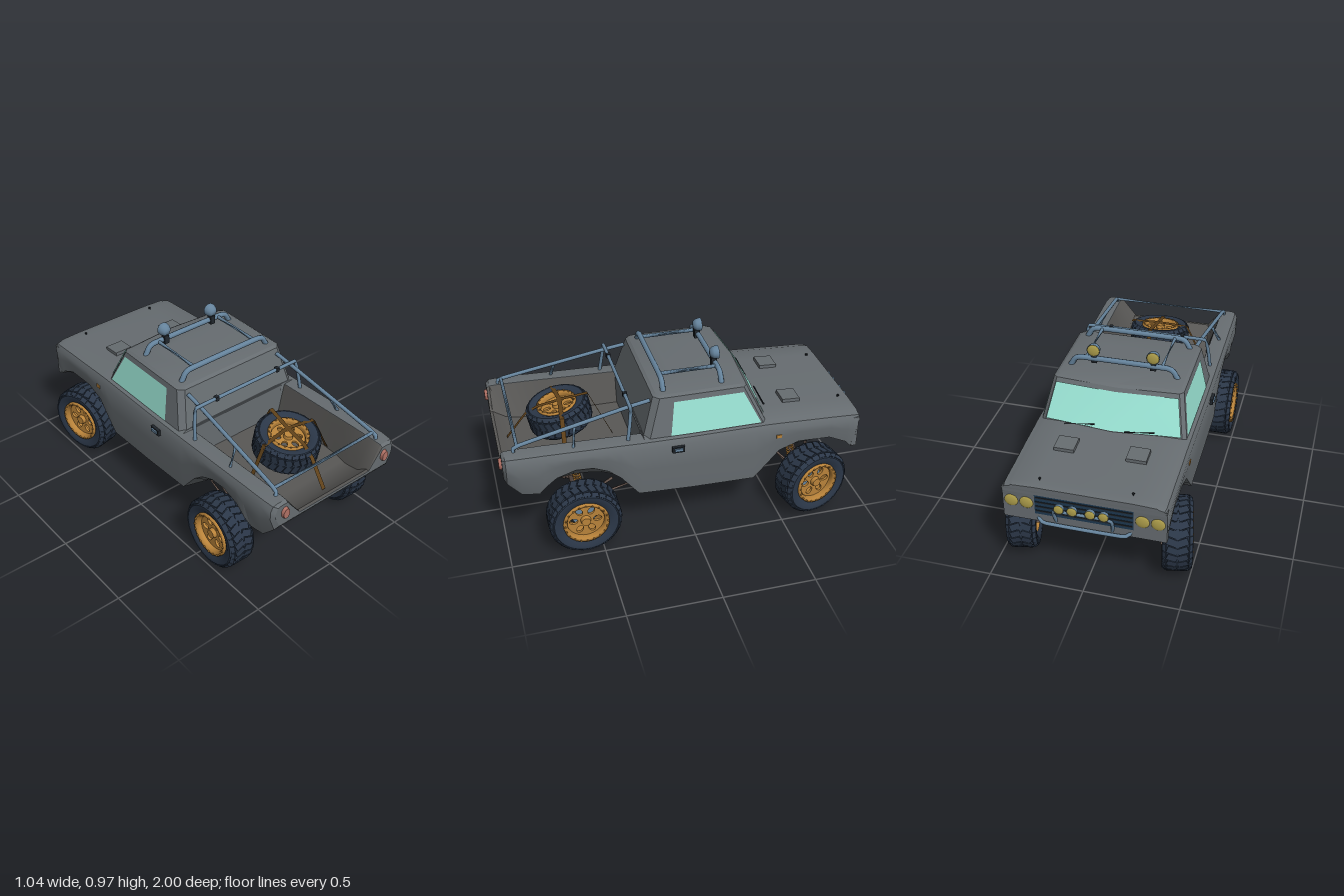
import * as THREE from 'three';
import { mergeGeometries, toCreasedNormals } from 'three/addons/utils/BufferGeometryUtils.js';

const V = (x, y, z) => new THREE.Vector3(x, y, z);
const paint = (color) => new THREE.MeshStandardMaterial({ color, side: THREE.DoubleSide });
const MAT = {
  body: paint(0x676d71), glass: paint(0x9ae3d4), steel: paint(0x66849d), rubber: paint(0x2b3748),
  gold: paint(0xb9833a), link: paint(0x6d5c54), strap: paint(0x5e4019), lamp: paint(0xb0a04c),
  navy: paint(0x1d3850), red: paint(0xb07064), black: paint(0x20262c), liner: paint(0x595856),
};

export function createModel() {
  const root = new THREE.Group();
  root.name = 'offroadPickup';

  const add = (name, geo, mat, parent = root) => {
    const m = new THREE.Mesh(geo, mat);
    m.name = name;
    parent.add(m);
    return m;
  };
  const box = (name, size, pos, mat, parent) => {
    const m = add(name, new THREE.BoxGeometry(...size), mat, parent);
    m.position.set(...pos);
    return m;
  };
  // Round bar through points, with tight bends
  const tube = (name, pts, r, mat = MAT.steel) => {
    const curve = new THREE.CatmullRomCurve3(pts.map((p) => V(...p)), false, 'catmullrom', 0.2);
    return add(name, new THREE.TubeGeometry(curve, pts.length === 2 ? 1 : pts.length * 6, r, 8), mat);
  };
  const both = (fn) => [1, -1].forEach(fn);

  // Skin over rows of points; optional capped ends for closed rings
  const skin = (rows, closed, flat2d) => {
    const n = rows[0].length, pos = rows.flat(2), idx = [];
    for (let i = 0; i + 1 < rows.length; i++) {
      for (let j = 0; j < (closed ? n : n - 1); j++) {
        const a = i * n + j, b = i * n + (j + 1) % n;
        idx.push(a, a + n, b, b, a + n, b + n);
      }
    }
    if (closed) {
      const last = (rows.length - 1) * n;
      [0, last].forEach((o) => {
        const contour = rows[o / n].map((p) => new THREE.Vector2(...flat2d(p)));
        THREE.ShapeUtils.triangulateShape(contour, []).forEach(([a, b, c]) =>
          o ? idx.push(o + a, o + c, o + b) : idx.push(a, b, c));
      });
    }
    const g = new THREE.BufferGeometry();
    g.setAttribute('position', new THREE.Float32BufferAttribute(pos, 3));
    g.setIndex(idx);
    return toCreasedNormals(g, 0.5);
  };

  // Lower body: z, sill height, belly height, half width, top height, bed floor half width (0 = bonnet)
  const stations = [
    [0.985, 0.485, 0.485, 0.4, 0.61, 0.24], [0.97, 0.46, 0.46, 0.42, 0.62, 0.243], [0.9, 0.385, 0.385, 0.426, 0.622, 0.25],
    [0.81, 0.372, 0.375, 0.426, 0.62, 0.265], [0.78, 0.42, 0.375, 0.426, 0.62, 0.27], [0.72, 0.468, 0.375, 0.426, 0.618, 0.28],
    [0.62, 0.5, 0.375, 0.426, 0.615, 0.285], [0.53, 0.495, 0.37, 0.426, 0.612, 0.285], [0.45, 0.46, 0.355, 0.426, 0.61, 0.285],
    [0.385, 0.405, 0.33, 0.426, 0.608, 0.285], [0.29, 0.285, 0.285, 0.426, 0.605, 0.285],
    [0.255, 0.282, 0.282, 0.426, 0.604, 0.285], [0.25, 0.282, 0.282, 0.426, 0.604, 0], [0, 0.27, 0.27, 0.426, 0.6, 0],
    [-0.35, 0.262, 0.262, 0.425, 0.6, 0], [-0.42, 0.34, 0.28, 0.425, 0.6, 0], [-0.49, 0.42, 0.31, 0.424, 0.597, 0],
    [-0.6, 0.46, 0.345, 0.424, 0.592, 0], [-0.78, 0.452, 0.36, 0.422, 0.583, 0], [-0.88, 0.405, 0.37, 0.422, 0.578, 0],
    [-0.91, 0.372, 0.372, 0.422, 0.576, 0], [-0.93, 0.37, 0.37, 0.42, 0.574, 0], [-0.947, 0.55, 0.55, 0.416, 0.57, 0],
  ];
  const bedFloor = (z) => 0.42 + 0.08 * THREE.MathUtils.clamp((z - 0.86) / 0.11, 0, 1);
  const bodyRing = ([z, sill, belly, w, top, bed]) => {
    const tuck = z > 0.8 ? 0.028 : 0.01;
    const half = [[0.25, belly], [0.29, belly + 0.08 * (sill - belly)], [w - tuck, sill], [w, (sill + top) / 2],
      [w, top - 0.035], [w - 0.015, top - 0.005], [w - 0.04, top], [bed ? 0.325 : 0.365, top + (bed ? 0 : 0.007)],
      [bed || 0.25, bed ? bedFloor(z) : top + 0.012]];
    const mirrored = half.map(([x, y]) => [-x, y]).reverse();
    return [...half, ...mirrored].map(([x, y]) => [x, y, z]);
  };
  add('body', skin(stations.map(bodyRing), true, ([x, y]) => [x, y]), MAT.body);
  const linerRow = ([z, , , , top, bed]) => [[0.323, top - 0.002], [bed - 0.002, bedFloor(z) + 0.003],
    [0.002 - bed, bedFloor(z) + 0.003], [-0.323, top - 0.002]].map(([x, y]) => [x, y, z]);
  add('bedLiner', skin(stations.filter((s) => s[5]).map(linerRow), false), MAT.liner);

  // Cab, with slightly bowed windscreen and crowned roof
  const cab = (y) => {
    const t = (y - 0.595) / 0.22;
    return { x: 0.39 - 0.043 * t, zr: 0.252 - 0.065 * t, zf: -0.42 + 0.105 * t, bow: 0.035 - 0.012 * t };
  };
  const cabRing = (y, inset = 0, lift = 0) => {
    const { x, zr, zf, bow } = cab(y), w = x - inset, r = zr - inset, f = zf + inset;
    return [[w - 0.03, r], [w, r - 0.03], [w, f + 0.02], [w - 0.02, f], [0, f - bow], [-w + 0.02, f], [-w, f + 0.02],
      [-w, r - 0.03], [-w + 0.03, r]].map(([px, pz]) => [px, y + lift, pz]);
  };
  add('cab', skin([cabRing(0.815, 0.14, 0.018), cabRing(0.815, 0.017, 0.01), cabRing(0.814), cabRing(0.585)],
    true, ([x, , z]) => [x, -z]), MAT.body);
  box('cabBack', [0.6, 0.2, 0.01], [0, 0.51, 0.251], MAT.body);

  // Glass
  const screenRow = (y) => [-1, 0, 1].map((s) => {
    const c = cab(y);
    return [s * (c.x - 0.024), y + 0.003, c.zf - (s ? 0.003 : c.bow) - 0.005];
  });
  add('windscreen', skin([screenRow(0.614), screenRow(0.794)], false), MAT.glass);
  both((s) => {
    const row = (y, z0, z1) => [z0, z1].map((z) => [s * (cab(y).x + 0.004), y, z]);
    add('sideWindow', skin([row(0.605, 0.107, -0.385), row(0.787, 0.083, -0.293)], false), MAT.glass);
    tube('wiper', [[s * 0.16 + 0.09, 0.622, -0.448], [s * 0.16 - 0.07, 0.64, -0.445]], 0.004, MAT.black);

    // Body fittings
    box('doorHandle', [0.025, 0.034, 0.065], [s * 0.43, 0.545, 0.08], MAT.black);
    box('handleLever', [0.01, 0.016, 0.045], [s * 0.445, 0.547, 0.08], MAT.steel);
    box('sideMarker', [0.012, 0.018, 0.03], [s * 0.423, 0.52, -0.48], MAT.gold);
    const light = add('tailLight', new THREE.CylinderGeometry(0.027, 0.034, 0.02, 8), MAT.red);
    light.geometry.rotateY(Math.PI / 8).rotateX(Math.PI / 2).scale(0.76, 1.1, 1);
    light.position.set(s * 0.34, 0.557, 0.99);
    box('hoodScoop', [0.105, 0.03, 0.1], [s * 0.188, 0.608, -0.61], MAT.body).rotation.x = -0.06;
    tube('hoodPin', [[s * 0.235, 0.58, -0.89], [s * 0.235, 0.6, -0.89]], 0.007, MAT.black);
  });

  // Front face: grille, paired headlights and lamp bar
  box('frontPanel', [0.83, 0.185, 0.03], [0, 0.465, -0.928], MAT.body);
  box('grille', [0.5, 0.12, 0.012], [0, 0.48, -0.94], MAT.navy);
  for (let i = 0; i < 4; i++) box('grilleSlat', [0.49, 0.008, 0.01], [0, 0.44 + i * 0.027, -0.944], MAT.black);
  const lamp = (x, y, z, r, depth) => {
    const g = new THREE.Group();
    g.name = 'lamp';
    const profile = [[0, -0.5], [0.55, -0.45], [0.9, -0.1], [1, 0.35], [1, 0.5]];
    const shell = new THREE.LatheGeometry(profile.map(([a, b]) => new THREE.Vector2(a * r, b * depth)), 16);
    add('lampShell', shell, MAT.steel, g);
    const lens = add('lampLens', new THREE.SphereGeometry(r * 0.94, 16, 6, 0, Math.PI * 2, 0, Math.PI / 2), MAT.lamp, g);
    lens.scale.y = 0.25;
    lens.position.y = depth * 0.45;
    g.rotation.x = -Math.PI / 2;
    g.position.set(x, y, z);
    root.add(g);
  };
  both((s) => [0.293, 0.371].forEach((x) => lamp(s * x, 0.478, -0.933, 0.038, 0.02)));
  [-0.112, -0.045, 0.045, 0.112].forEach((x) => lamp(x, 0.505, -0.975, 0.027, 0.032));
  tube('lampBar', [[-0.14, 0.37, -0.93], [-0.14, 0.475, -0.972], [0.14, 0.475, -0.972], [0.14, 0.37, -0.93]], 0.009);
  tube('frontBumper', [[-0.24, 0.4, -0.93], [-0.2, 0.375, -0.955], [0.2, 0.375, -0.955], [0.24, 0.4, -0.93]], 0.01);

  // Roof rack and spotlights
  [-0.19, 0.125].forEach((z) => tube('roofHoop', [[-0.295, 0.81, z], [-0.28, 0.84, z], [-0.235, 0.877, z],
    [0.235, 0.877, z], [0.28, 0.84, z], [0.295, 0.81, z]], 0.015));
  both((s) => {
    tube('roofRail', [[s * 0.205, 0.877, -0.19], [s * 0.205, 0.877, 0.125]], 0.011);
    box('spotBracket', [0.03, 0.05, 0.03], [s * 0.16, 0.88, -0.185], MAT.black);
    lamp(s * 0.16, 0.933, -0.185, 0.036, 0.045);

    // Bed cage sides
    tube('cageRail', [[s * 0.305, 0.787, 0.2], [s * 0.31, 0.765, 0.33], [s * 0.34, 0.65, 0.9], [s * 0.345, 0.61, 0.92]], 0.011);
    tube('cageStrut', [[s * 0.378, 0.6, 0.62], [s * 0.325, 0.705, 0.6]], 0.009);
    box('cageClamp', [0.02, 0.024, 0.024], [s * 0.208, 0.783, 0.31], MAT.black);
  });
  tube('cageHoop', [[-0.37, 0.59, 0.335], [-0.36, 0.69, 0.32], [-0.347, 0.765, 0.31], [-0.325, 0.782, 0.31],
    [0.325, 0.782, 0.31], [0.347, 0.765, 0.31], [0.36, 0.69, 0.32], [0.37, 0.59, 0.335]], 0.01);
  tube('cageRearBar', [[-0.34, 0.65, 0.9], [0.34, 0.65, 0.9]], 0.009);

  // Wheel: axle along x, outer face towards +x
  const tyreProfile = [[0.118, -0.06], [0.148, -0.077], [0.17, -0.078], [0.184, -0.066], [0.191, 0], [0.184, 0.066],
    [0.17, 0.078], [0.148, 0.077], [0.118, 0.06], [0.112, 0], [0.118, -0.06]].map((p) => new THREE.Vector2(...p));
  const tyreGeo = toCreasedNormals(new THREE.LatheGeometry(tyreProfile, 40).toNonIndexed(), 0.6).rotateZ(-Math.PI / 2);
  const lugs = [];
  for (let i = 0; i < 28; i++) {
    both((s) => {
      const angle = (i / 28) * Math.PI * 2;
      lugs.push(new THREE.BoxGeometry(0.054, 0.008, 0.036).rotateY(s * 0.35).translate(s * 0.027, 0.1905, 0).rotateX(angle));
      lugs.push(new THREE.BoxGeometry(0.022, 0.008, 0.036).rotateZ(-s * 0.7).translate(s * 0.066, 0.1815, -0.013).rotateX(angle));
    });
  }
  const treadGeo = mergeGeometries(lugs);
  const disc = new THREE.Shape().absarc(0, 0, 0.104, 0, Math.PI * 2);
  for (let i = 0; i < 6; i++) {
    const a = (i / 6) * Math.PI * 2;
    disc.holes.push(new THREE.Path().absellipse(Math.cos(a) * 0.064, Math.sin(a) * 0.064, 0.023, 0.017, 0, Math.PI * 2, true, a));
  }
  const discGeo = new THREE.ExtrudeGeometry(disc, { depth: 0.014, bevelEnabled: false, curveSegments: 16 })
    .rotateY(Math.PI / 2).translate(0.03, 0, 0);
  const barrel = [[0.112, -0.068], [0.104, -0.06], [0.1, 0], [0.1, 0.06], [0.107, 0.074], [0.121, 0.076], [0.123, 0.06]];
  const barrelGeo = new THREE.LatheGeometry(barrel.map((p) => new THREE.Vector2(...p)), 36).rotateZ(-Math.PI / 2);
  const bolts = [new THREE.CylinderGeometry(0.024, 0.03, 0.03, 16).rotateZ(-Math.PI / 2).translate(0.05, 0, 0)];
  for (let i = 0; i < 20; i++) {
    bolts.push(new THREE.CylinderGeometry(0.005, 0.005, 0.008, 6).rotateZ(Math.PI / 2)
      .translate(0.078, 0.114, 0).rotateX((i / 20) * Math.PI * 2));
  }
  const boltGeo = mergeGeometries(bolts);
  const brakeGeo = new THREE.CylinderGeometry(0.068, 0.068, 0.01, 24).rotateZ(Math.PI / 2);
  const wheel = (name, parent = root) => {
    const g = new THREE.Group();
    g.name = name;
    add('tyre', tyreGeo, MAT.rubber, g);
    add('tread', treadGeo, MAT.rubber, g);
    add('rimDisc', discGeo, MAT.gold, g);
    add('rimBarrel', barrelGeo, MAT.gold, g);
    add('hubAndBolts', boltGeo, MAT.gold, g);
    parent.add(g);
    return g;
  };

  // Coil spring around a damper between two points
  const coilover = (a, b) => {
    const A = V(...a), B = V(...b), len = A.distanceTo(B), g = new THREE.Group(), turns = [];
    g.name = 'coilover';
    for (let i = 0; i <= 60; i++) {
      const t = i / 60, q = t * Math.PI * 12;
      turns.push(V(Math.cos(q) * 0.018, (0.1 + 0.45 * t) * len, Math.sin(q) * 0.018));
    }
    add('spring', new THREE.TubeGeometry(new THREE.CatmullRomCurve3(turns), 110, 0.005, 5), MAT.gold, g);
    add('damper', new THREE.CylinderGeometry(0.011, 0.011, len, 10).translate(0, len / 2, 0), MAT.link, g);
    add('damperTop', new THREE.CylinderGeometry(0.015, 0.015, len * 0.25, 10).translate(0, len * 0.87, 0), MAT.navy, g);
    g.position.copy(A);
    g.quaternion.setFromUnitVectors(V(0, 1, 0), B.sub(A).normalize());
    root.add(g);
  };

  both((s) => {
    // Wheels; the front pair is steered
    const rear = wheel('rearWheel');
    rear.position.set(s * 0.411, 0.198, 0.591);
    const knuckle = new THREE.Group();
    knuckle.name = 'steeringKnuckle';
    knuckle.position.set(s * 0.34, 0.198, -0.675);
    knuckle.rotation.y = 0.22;
    root.add(knuckle);
    const front = wheel('frontWheel', knuckle);
    front.position.x = s * 0.069;
    [rear, front].forEach((w) => {
      w.rotation.y = s > 0 ? 0 : Math.PI;
      add('brakeDisc', brakeGeo, MAT.steel, w).position.x = -0.01;
    });
    box('upright', [0.04, 0.13, 0.05], [s * 0.005, 0, 0], MAT.link, knuckle);

    // Suspension links
    [0.15, 0.25].forEach((y) => [-0.78, -0.55].forEach((z) =>
      tube('frontArm', [[s * 0.1, y + 0.09, z], [s * 0.34, y, -0.675]], 0.012, MAT.link)));
    tube('halfShaft', [[s * 0.06, 0.27, -0.675], [s * 0.37, 0.2, -0.675]], 0.012, MAT.link);
    tube('trailingArm', [[s * 0.27, 0.18, 0.58], [s * 0.17, 0.272, -0.05]], 0.014, MAT.link);
    tube('upperLink', [[s * 0.05, 0.24, 0.58], [s * 0.22, 0.3, 0.2]], 0.011, MAT.link);
    tube('swayLink', [[s * 0.25, 0.2, 0.56], [s * 0.25, 0.29, 0.4]], 0.008, MAT.link);
    coilover([s * 0.168, 0.2, 0.57], [s * 0.145, 0.4, 0.6]);
    coilover([s * 0.24, 0.21, -0.64], [s * 0.19, 0.4, -0.62]);
  });

  // Rear axle, differential and drive line
  tube('rearAxle', [[-0.37, 0.195, 0.591], [0.37, 0.195, 0.591]], 0.022, MAT.link);
  add('differential', new THREE.SphereGeometry(0.05, 12, 8), MAT.link).position.set(0, 0.195, 0.591);
  const cover = add('diffCover', new THREE.CylinderGeometry(0.035, 0.045, 0.02, 8).rotateX(Math.PI / 2), MAT.link);
  cover.position.set(0, 0.195, 0.637);
  tube('rearDriveShaft', [[0, 0.2, 0.58], [0, 0.265, 0.05], [0, 0.265, -0.4]], 0.014, MAT.link);

  // Front belly plate
  const plateRing = ([z, w, y, top]) => [[-w, y], [w, y], [w + 0.04, top], [-w - 0.04, top]].map(([a, b]) => [a, b, z]);
  add('skidPlate', skin([[-0.36, 0.04, 0.25, 0.32], [-0.44, 0.07, 0.238, 0.34], [-0.52, 0.09, 0.245, 0.36],
    [-0.76, 0.1, 0.3, 0.4], [-0.925, 0.15, 0.375, 0.42]].map(plateRing), true, ([x, y]) => [x, y]), MAT.navy);

  // Spare wheel lying in the bed, with tie-down straps
  const spare = new THREE.Group();
  spare.name = 'spareWheel';
  spare.position.set(-0.005, 0.594, 0.63);
  spare.rotation.x = 0.2;
  spare.scale.setScalar(0.89);
  wheel('spare', spare).rotation.z = Math.PI / 2;
  root.add(spare);
  const ribbon = (pts, dx, dz) => add('strap', skin([
    pts.map(([x, y, z]) => [x - dx, y, z - dz]), pts.map(([x, y, z]) => [x + dx, y, z + dz])], false), MAT.strap);
  ribbon([[0.025, 0.43, 0.35], [0.02, 0.705, 0.475], [0.005, 0.682, 0.6], [0, 0.65, 0.75], [-0.005, 0.61, 0.815],
    [-0.012, 0.475, 0.92]], 0.012, 0);
  ribbon([[-0.28, 0.43, 0.64], [-0.17, 0.66, 0.64], [0, 0.677, 0.625], [0.17, 0.66, 0.64], [0.28, 0.43, 0.645]], 0, 0.012);

  return root;
}
